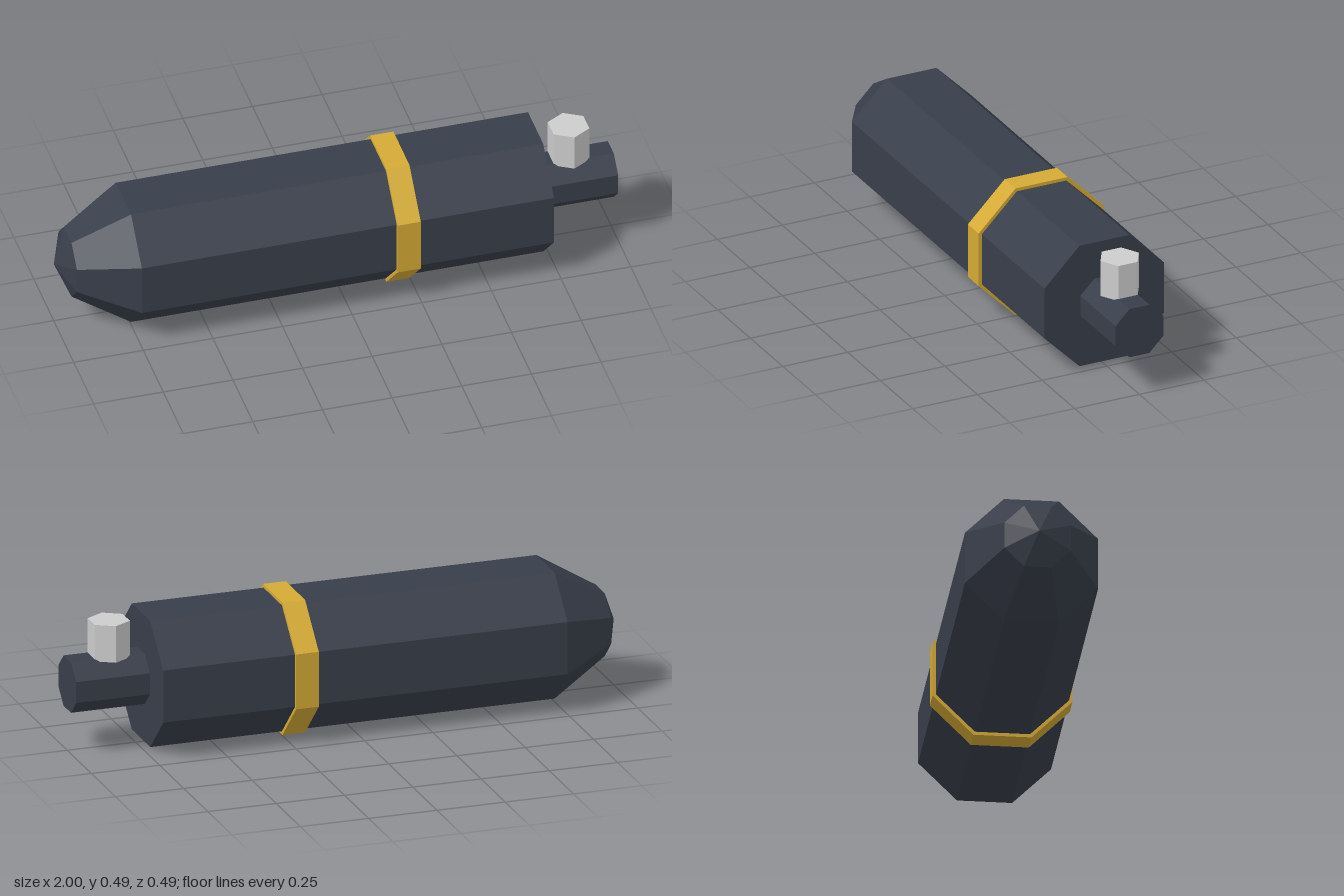
import * as THREE from 'three';

const AXIS_Y = 0.243; // height of the long axis

export function createModel() {
  const model = new THREE.Group();
  model.name = 'model';

  const mat = (name, color) => {
    const m = new THREE.MeshStandardMaterial({ color, flatShading: true });
    m.name = name;
    return m;
  };
  const slate = mat('dark slate', 0x383e4a);
  const gold = mat('gold', 0xd4aa35);
  const silver = mat('silver', 0xcccccc);

  const add = (name, geometry, material) => {
    const mesh = new THREE.Mesh(geometry, material);
    mesh.name = name;
    model.add(mesh);
    return mesh;
  };

  // Octagonal solid turned about the x axis, flats facing up and sideways;
  // profile pairs are [x, corner radius]
  const octagonal = (name, profile, material) => {
    const points = profile.map(([x, r]) => new THREE.Vector2(r, x));
    const g = new THREE.LatheGeometry(points, 8, Math.PI / 8);
    g.rotateZ(-Math.PI / 2);
    g.translate(0, AXIS_Y, 0);
    return add(name, g, material);
  };

  // Main barrel with its two-step nose
  octagonal('body', [[-1, 0], [-0.95, 0.125], [-0.75, 0.25], [0.73, 0.25], [0.73, 0]], slate);

  // Raised band around the barrel
  octagonal('band', [[0.165, 0], [0.165, 0.263], [0.248, 0.263], [0.248, 0]], gold);

  // Narrow stem at the rear
  octagonal('stem', [[0.73, 0], [0.73, 0.1], [1, 0.1], [1, 0]], slate);

  // Hexagonal knob standing on the stem
  const knob = add('knob', new THREE.CylinderGeometry(0.074, 0.074, 0.134, 6), silver);
  knob.position.set(0.848, 0.395, 0);

  return model;
}
